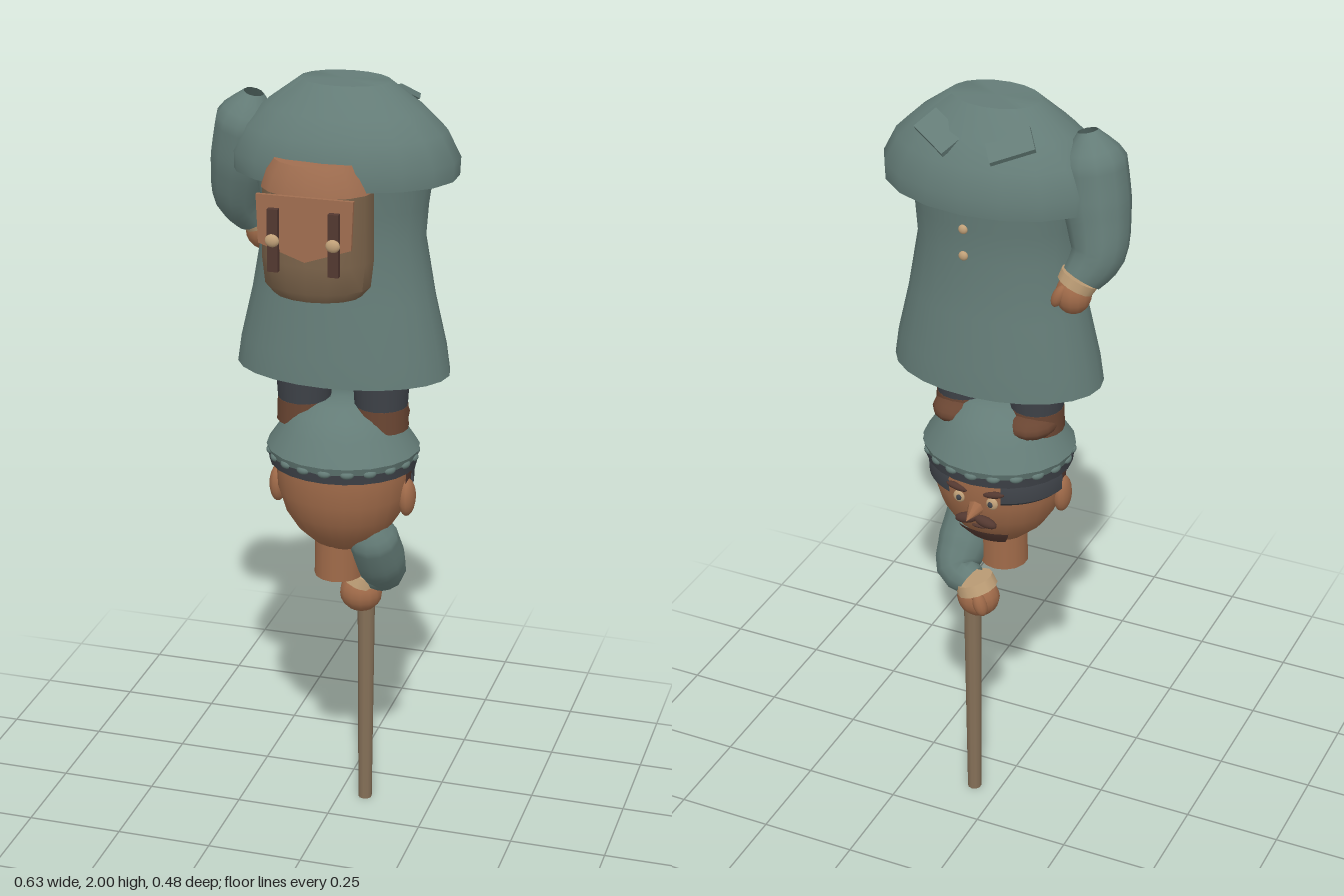
import * as THREE from 'three';
import { mergeVertices, toCreasedNormals } from 'three/addons/utils/BufferGeometryUtils.js';

const mat = (name, color, side = THREE.FrontSide) => {
  const m = new THREE.MeshStandardMaterial({ color, side });
  m.name = name;
  return m;
};

export function createModel() {
  const teal = mat('teal cloth', 0x647c77, THREE.DoubleSide);
  const skin = mat('skin', 0x9f6a49);
  const leather = mat('flap leather', 0xa06e50);
  const bag = mat('bag canvas', 0x7c644b);
  const wood = mat('cane wood', 0x857058);
  const dark = mat('charcoal', 0x3e4248, THREE.DoubleSide);
  const bootBrown = mat('boot brown', 0x694532);
  const hair = mat('dark brown', 0x533830, THREE.DoubleSide);
  const beige = mat('beige trim', 0xc0a078);

  const root = new THREE.Group();
  const add = (name, geo, material, x = 0, y = 0, z = 0, parent = root) => {
    const m = new THREE.Mesh(geo, material);
    m.name = name;
    m.position.set(x, y, z);
    parent.add(m);
    return m;
  };
  // Oval turned form: profile of [radius, y], depth ratio, optional arc
  const turned = (pts, ratio, n = 20, start = 0, len = Math.PI * 2) =>
    toCreasedNormals(new THREE.LatheGeometry(pts.map(p => new THREE.Vector2(...p)), n, start, len)
      .scale(1, 1, ratio), 0.7);
  const ball = (rx, ry, rz) => new THREE.SphereGeometry(1, 14, 10).scale(rx, ry, rz);
  // Limb swept along [x, y, z, radius] stations
  const limb = st => {
    const curve = new THREE.CatmullRomCurve3(st.map(s => new THREE.Vector3(s[0], s[1], s[2])));
    const n = 16, sides = 12, k = st.length - 1;
    const geo = new THREE.TubeGeometry(curve, n, 1, sides);
    const pos = geo.attributes.position, v = new THREE.Vector3();
    for (let i = 0; i <= n; i++) {
      const t = curve.getUtoTmapping(i / n) * k, a = Math.min(k - 1, Math.floor(t));
      const r = THREE.MathUtils.lerp(st[a][3], st[a + 1][3], t - a);
      const c = curve.getPointAt(i / n);
      for (let j = 0; j <= sides; j++) {
        const q = i * (sides + 1) + j;
        v.fromBufferAttribute(pos, q).sub(c).multiplyScalar(r).add(c);
        pos.setXYZ(q, v.x, v.y, v.z);
      }
    }
    geo.deleteAttribute('uv');
    geo.deleteAttribute('normal');
    const g = mergeVertices(geo, 1e-4);
    g.computeVertexNormals();
    return g;
  };
  const CX = 0.03;

  // Coat and shoulder cape
  add('coat', turned([[0, 1.275], [0.272, 1.27], [0.262, 1.34], [0.232, 1.47], [0.206, 1.62],
    [0.212, 1.7], [0.225, 1.79], [0, 1.8]], 0.63, 24), teal, CX, 0, -0.037);
  add('cape', turned([[0.19, 1.79], [0.283, 1.775], [0.285, 1.82], [0.252, 1.885], [0.2, 1.935],
    [0.112, 2], [0, 2]], 0.69, 18), teal, CX, 0, -0.045);
  for (const s of [-1, 1]) {
    const flap = add('collarFlap', new THREE.BoxGeometry(0.11, 0.014, 0.068), teal, CX + s * 0.09, 1.937, -0.165);
    flap.rotation.set(-0.62, -s * 0.55, 0);
  }
  for (const y of [1.7, 1.63]) add('coatButton', ball(0.012, 0.012, 0.008), beige, 0.06, y, -0.17);

  // Legs and boots
  for (const s of [-1, 1]) {
    const x = CX + s * 0.1;
    add('trouserLeg', new THREE.CylinderGeometry(0.076, 0.066, 0.16, 16), dark, x, 1.24, -0.03);
    add('bootShaft', new THREE.CylinderGeometry(0.068, 0.07, 0.06, 16), bootBrown, x, 1.15, -0.03);
    add('bootToe', ball(0.065, 0.035, 0.08), bootBrown, x, 1.145, -0.055);
  }

  // Lowered arm
  add('loweredSleeve', limb([[-0.2, 1.95, -0.04, 0.025], [-0.215, 1.89, -0.045, 0.08], [-0.235, 1.78, -0.06, 0.082],
    [-0.252, 1.67, -0.09, 0.067], [-0.225, 1.61, -0.12, 0.05]]), teal);
  const cuffA = add('loweredCuff', new THREE.CylinderGeometry(0.05, 0.047, 0.025, 12), beige, -0.218, 1.605, -0.13);
  cuffA.rotation.set(0.3, 0, 0.4);
  add('loweredHand', ball(0.044, 0.05, 0.045), skin, -0.21, 1.572, -0.135);
  add('loweredThumb', ball(0.016, 0.032, 0.018), skin, -0.185, 1.575, -0.165).rotation.z = 0.4;

  // Backpack
  const pack = new THREE.Group();
  pack.name = 'backpack';
  root.add(pack);
  add('packBody', turned([[0, 1.505], [0.11, 1.505], [0.132, 1.53], [0.14, 1.6], [0.138, 1.775], [0, 1.78]], 0.74, 16),
    bag, 0.005, 0, 0.1, pack);
  add('packLid', turned([[0, 1.768], [0.141, 1.77], [0.128, 1.81], [0.108, 1.84], [0, 1.842]], 0.74, 16),
    leather, 0.005, 0, 0.1, pack);
  const flapShape = new THREE.Shape([[-0.12, 1.775], [-0.115, 1.655], [0, 1.615], [0.115, 1.655], [0.12, 1.775]]
    .map(p => new THREE.Vector2(...p)));
  add('packFlap', new THREE.ExtrudeGeometry(flapShape, { depth: 0.01, bevelEnabled: false }),
    leather, 0.005, 0, 0.202, pack);
  for (const s of [-1, 1]) {
    const x = 0.005 + s * 0.075;
    add('packStrap', new THREE.BoxGeometry(0.026, 0.155, 0.016), hair, x, 1.667, 0.219, pack);
    add('strapStud', ball(0.018, 0.016, 0.01), beige, x, 1.668, 0.228, pack);
  }

  // Head, hat and neck
  const head = new THREE.Group();
  head.name = 'head';
  head.position.set(CX, 0, -0.035);
  root.add(head);
  add('skull', turned([[0, 0.785], [0.07, 0.792], [0.118, 0.835], [0.15, 0.885], [0.167, 0.94], [0.171, 1], [0.168, 1.04]], 0.88, 24),
    skin, 0, 0, 0, head);
  add('hat', turned([[0, 1.03], [0.184, 1.028], [0.195, 1.06], [0.158, 1.115], [0.125, 1.155], [0.08, 1.18], [0, 1.187]], 0.92, 20),
    teal, 0, 0, 0, head);
  add('hatBand', turned([[0, 1.014], [0.188, 1.016], [0.192, 1.042]], 0.9, 24), dark, 0, 0, 0, head);
  for (let i = 0; i < 20; i++) {
    const a = i / 20 * Math.PI * 2;
    add('hatFold', ball(0.018, 0.011, 0.012), teal, Math.sin(a) * 0.184, 1.043, Math.cos(a) * 0.169, head).rotation.y = a;
  }
  add('neck', new THREE.CylinderGeometry(0.06, 0.062, 0.13, 14), skin, -0.01, 0.765, 0.005, head);
  for (const s of [-1, 1]) {
    add('ear', ball(0.022, 0.05, 0.034), skin, s * 0.17, 0.935, 0.008, head);
    // curved plates hugging the face
    const arc = (name, pts, a, b, m) =>
      add(name, turned(pts, 0.88, 10, s > 0 ? Math.PI - b : Math.PI + a, b - a), m, 0, 0, 0, head);
    arc('goggle', [[0.17, 0.955], [0.181, 0.965], [0.183, 1.005], [0.176, 1.02]], 0.4, 1.45, dark);
    arc('sideburn', [[0.173, 0.972], [0.177, 1.03]], 1.3, 1.75, hair);
    arc('beard', [[0.09, 0.798], [0.124, 0.832], [0.132, 0.845]], 0, 0.55, hair);
    add('eye', ball(0.016, 0.017, 0.008), beige, s * 0.045, 0.957, -0.143, head);
    add('pupil', ball(0.007, 0.008, 0.005), dark, s * 0.043, 0.957, -0.15, head);
    add('eyebrow', ball(0.03, 0.009, 0.01), hair, s * 0.05, 0.985, -0.145, head).rotation.z = s * 0.2;
    add('moustache', ball(0.032, 0.014, 0.014), hair, s * 0.026, 0.898, -0.143, head).rotation.z = -s * 0.25;
  }
  const nose = add('nose', new THREE.ConeGeometry(0.03, 0.08, 8), skin, 0, 0.932, -0.16, head);
  nose.rotation.x = -Math.PI / 2 - 0.15;
  add('mouth', ball(0.02, 0.005, 0.006), hair, 0, 0.868, -0.124, head);

  // Raised arm holding the cane
  add('raisedSleeve', limb([[0.115, 0.87, 0.005, 0.025], [0.115, 0.825, -0.012, 0.064], [0.12, 0.74, -0.06, 0.068],
    [0.118, 0.685, -0.105, 0.055], [0.075, 0.665, -0.115, 0.042]]), teal);
  const cuffB = add('raisedCuff', new THREE.CylinderGeometry(0.05, 0.054, 0.03, 12), beige, 0.062, 0.658, -0.115);
  cuffB.rotation.z = -0.35;
  add('raisedHand', ball(0.056, 0.052, 0.052), skin, 0.058, 0.615, -0.108);
  add('raisedThumb', ball(0.018, 0.034, 0.02), skin, 0.035, 0.62, -0.148).rotation.z = -0.3;
  add('cane', new THREE.CylinderGeometry(0.023, 0.018, 0.62, 10), wood, 0.069, 0.31, -0.12);
  return root;
}
